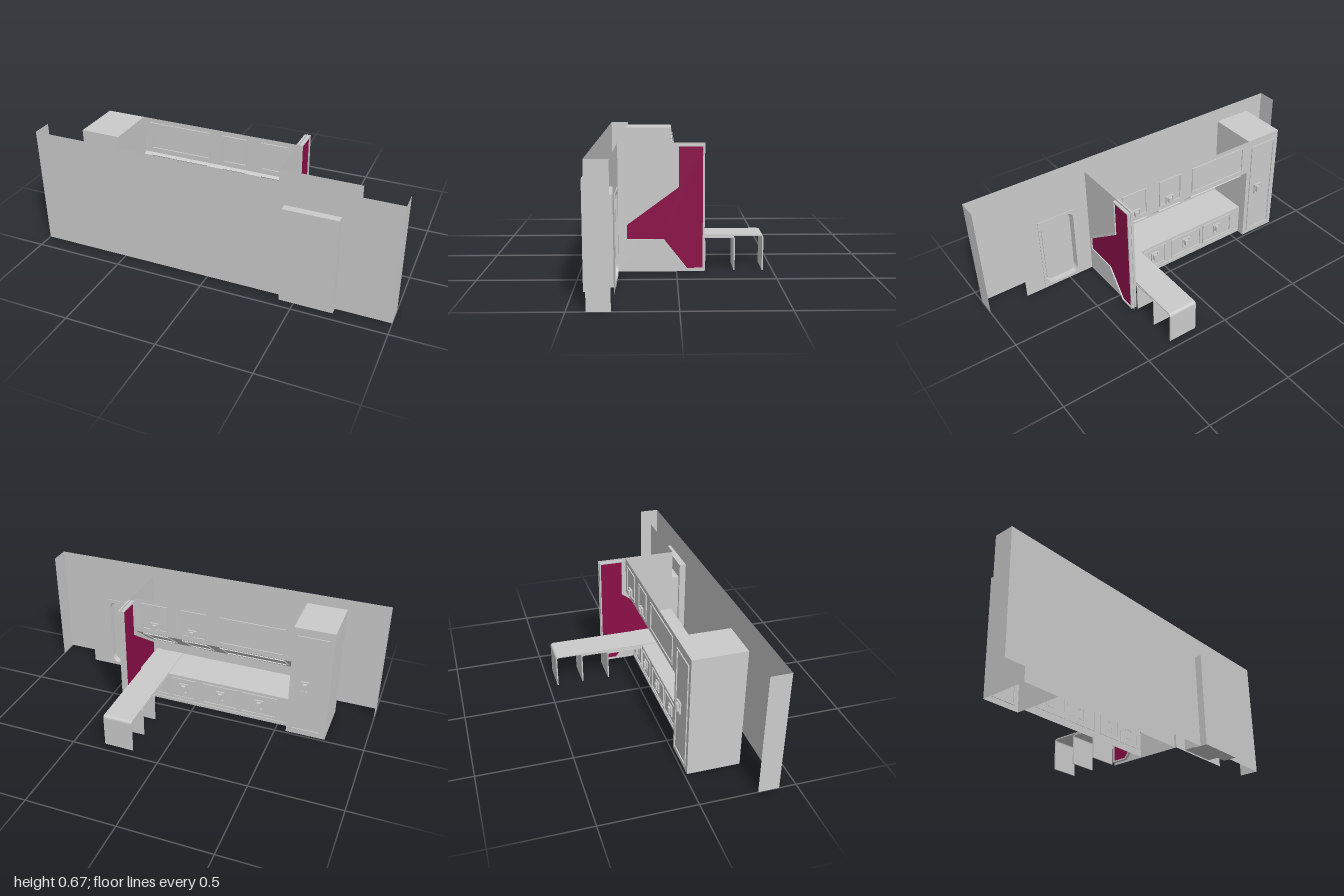
import * as THREE from 'three';

const grey = new THREE.MeshStandardMaterial({ color: 0xcccccc, side: THREE.DoubleSide, flatShading: true });
const crimson = new THREE.MeshStandardMaterial({ color: 0x8c0f48, side: THREE.DoubleSide, flatShading: true });

export function createModel() {
  const root = new THREE.Group();

  const add = (name, geo, mat = grey, parent = root) => {
    const m = new THREE.Mesh(geo, mat);
    m.name = name;
    parent.add(m);
    return m;
  };

  // box from min/max extents
  const box = (name, x0, x1, y0, y1, z0, z1, parent = root) => {
    const g = new THREE.BoxGeometry(x1 - x0, y1 - y0, z1 - z0);
    g.translate((x0 + x1) / 2, (y0 + y1) / 2, (z0 + z1) / 2);
    return add(name, g, grey, parent);
  };

  // thin sheets: upright across x, upright across z, and level
  const sheetX = (name, x0, x1, y0, y1, z, parent = root) =>
    add(name, new THREE.PlaneGeometry(x1 - x0, y1 - y0).translate((x0 + x1) / 2, (y0 + y1) / 2, z), grey, parent);
  const sheetZ = (name, x, y0, y1, z0, z1) =>
    add(name, new THREE.PlaneGeometry(z1 - z0, y1 - y0).rotateY(Math.PI / 2).translate(x, (y0 + y1) / 2, (z0 + z1) / 2));
  const sheetLevel = (name, x0, x1, y, z0, z1) =>
    add(name, new THREE.PlaneGeometry(x1 - x0, z1 - z0).rotateX(-Math.PI / 2).translate((x0 + x1) / 2, y, (z0 + z1) / 2));

  // [z, y] profile extruded along x
  const toVec = ([z, y]) => new THREE.Vector2(-z, y);
  const sideExtrude = (name, shape, x0, x1, mat) => {
    const g = new THREE.ExtrudeGeometry(shape, { depth: x1 - x0, bevelEnabled: false, curveSegments: 6 });
    g.rotateY(Math.PI / 2);
    g.translate(x0, 0, 0);
    return add(name, g, mat);
  };

  const rect = (x0, x1, y0, y1, r = 0, Type = THREE.Shape) => {
    const s = new Type();
    s.moveTo(x0 + r, y0);
    s.lineTo(x1 - r, y0);
    if (r) s.quadraticCurveTo(x1, y0, x1, y0 + r);
    s.lineTo(x1, y1 - r);
    if (r) s.quadraticCurveTo(x1, y1, x1 - r, y1);
    s.lineTo(x0 + r, y1);
    if (r) s.quadraticCurveTo(x0, y1, x0, y1 - r);
    s.lineTo(x0, y0 + r);
    if (r) s.quadraticCurveTo(x0, y0, x0 + r, y0);
    return s;
  };

  // rectangular trim around a door, in the xy plane
  const trim = (name, x0, x1, y0, y1, z, depth, parent = root, t = 0.008) => {
    const s = rect(x0, x1, y0, y1);
    s.holes.push(rect(x0 + t, x1 - t, y0 + t, y1 - t, 0, THREE.Path));
    const g = new THREE.ExtrudeGeometry(s, { depth, bevelEnabled: false });
    g.translate(0, 0, z);
    return add(name, g, grey, parent);
  };

  // latch: framed plate with a protruding grip
  const latch = (name, x, y, w, h, z) => {
    const g = new THREE.Group();
    g.name = name;
    trim('latchFrame', x - w / 2, x + w / 2, y - h / 2, y + h / 2, z - 0.009, 0.01, g, 0.006);
    box('latchGrip', x - w * 0.22, x + w * 0.22, y - h * 0.3, y + h * 0.3, z - 0.018, z, g);
    root.add(g);
  };

  // outer wall with short returns at both ends
  sheetX('outerWall', -1, 1, 0, 0.67, 0.41);
  for (const x of [-1, 1]) sheetZ('wallReturn', x, 0, 0.67, 0.3, 0.41);

  // entrance: outer block, inner wall with an opening, and rounded recessed doorway
  box('entranceBlock', 0.42, 0.708, 0, 0.542, 0.372, 0.45);
  const innerWall = rect(0.35, 0.775, 0, 0.67);
  innerWall.holes.push(rect(0.43, 0.66, 0.008, 0.46, 0, THREE.Path));
  add('innerWall', new THREE.ShapeGeometry(innerWall).translate(0, 0, 0.3));
  const doorway = rect(0.43, 0.66, 0.008, 0.46);
  doorway.holes.push(rect(0.445, 0.645, 0.022, 0.445, 0.045, THREE.Path));
  const doorwayGeo = new THREE.ExtrudeGeometry(doorway, { depth: 0.074, bevelEnabled: false, curveSegments: 6 });
  doorwayGeo.translate(0, 0, 0.296);
  add('doorwayFrame', doorwayGeo);
  const leafGeo = new THREE.ExtrudeGeometry(rect(0.457, 0.633, 0.034, 0.433, 0.04), { depth: 0.052, bevelEnabled: false, curveSegments: 6 });
  leafGeo.translate(0, 0, 0.318);
  add('doorLeaf', leafGeo);

  // partition with a framed coloured panel on both faces
  sheetZ('partition', 0.35, 0, 0.67, -0.145, 0.3);
  const outer = [[-0.142, 0.66], [-0.004, 0.66], [-0.004, 0.452], [0.262, 0.255],
    [0.262, 0.167], [0.07, 0.167], [-0.05, 0.013], [-0.142, 0.013]];
  const inner = [[-0.134, 0.652], [-0.012, 0.652], [-0.012, 0.446], [0.254, 0.25],
    [0.254, 0.175], [0.066, 0.175], [-0.054, 0.021], [-0.134, 0.021]];
  const frame = new THREE.Shape(outer.map(toVec));
  frame.holes.push(new THREE.Path(inner.map(toVec)));
  sideExtrude('partitionFrame', frame, 0.333, 0.367);
  sideExtrude('partitionPanel', new THREE.Shape(inner.map(toVec)), 0.34, 0.36, crimson);

  // tall cupboard, open underneath
  sheetLevel('cupboardTop', -0.78, -0.56, 0.67, 0.014, 0.295);
  for (const z of [0.014, 0.295]) sheetX('cupboardFace', -0.78, -0.56, 0, 0.67, z);
  for (const x of [-0.78, -0.56]) sheetZ('cupboardSide', x, 0, 0.67, 0.014, 0.295);
  trim('cupboardDoorTrim', -0.755, -0.585, 0.03, 0.625, 0.008, 0.01);
  latch('cupboardLatch', -0.645, 0.32, 0.045, 0.065, 0.012);

  // base units, set back from the cupboard, and the counter above them
  sheetX('baseFront', -0.56, 0.34, 0, 0.185, 0.06);
  sheetX('baseBack', -0.56, 0.34, 0, 0.3, 0.295);
  sheetLevel('counter', -0.56, 0.34, 0.185, 0.06, 0.295);
  box('plinthStrip', -0.56, 0.34, 0.018, 0.024, 0.055, 0.06);
  for (const x of [0.235, 0.07, -0.155, -0.385]) {
    const w = x > 0 ? 0.075 : 0.105;
    trim('baseDoorTrim', x - w, x + w, 0.04, 0.168, 0.054, 0.008, root, 0.005);
    latch('baseLatch', x, 0.106, 0.05, 0.06, 0.06);
  }

  // overhead lockers, open on top, with a sloping underside
  sheetX('lockerFront', -0.56, 0.34, 0.46, 0.67, 0.014);
  sheetLevel('lockerShelf', -0.56, 0.34, 0.3, 0.21, 0.295);
  const slope = new THREE.Group();
  slope.name = 'lockerUnderside';
  slope.position.set(0, 0.3, 0.21);
  slope.rotation.x = -Math.atan2(0.196, 0.16);
  sheetX('slopePanel', -0.56, 0.34, 0, 0.253, 0, slope);
  root.add(slope);
  for (const [x0, x1] of [[-0.52, -0.155], [-0.08, 0.065], [0.145, 0.3]]) {
    trim('lockerDoorTrim', x0, x1, 0.485, 0.645, 0.008, 0.014);
    trim('slopeTrim', x0, x1, 0.065, 0.24, -0.006, 0.013, slope);
  }
  for (const x of [0, 0.22]) latch('lockerLatch', x, 0.512, 0.05, 0.045, 0.012);

  // nested pull-out table leaves, each bending down into a leg
  const t = 0.007, r = 0.018;
  [[-0.452, 0.189], [-0.304, 0.179], [-0.15, 0.169]].forEach(([zEnd, top]) => {
    const e = -zEnd, s = new THREE.Shape();
    s.moveTo(-0.29, top);
    s.lineTo(e - r, top);
    s.quadraticCurveTo(e, top, e, top - r);
    s.lineTo(e, 0);
    s.lineTo(e - t, 0);
    s.lineTo(e - t, top - r);
    s.quadraticCurveTo(e - t, top - t, e - r, top - t);
    s.lineTo(-0.29, top - t);
    sideExtrude('tableLeaf', s, 0.165, 0.33);
  });

  return root;
}
